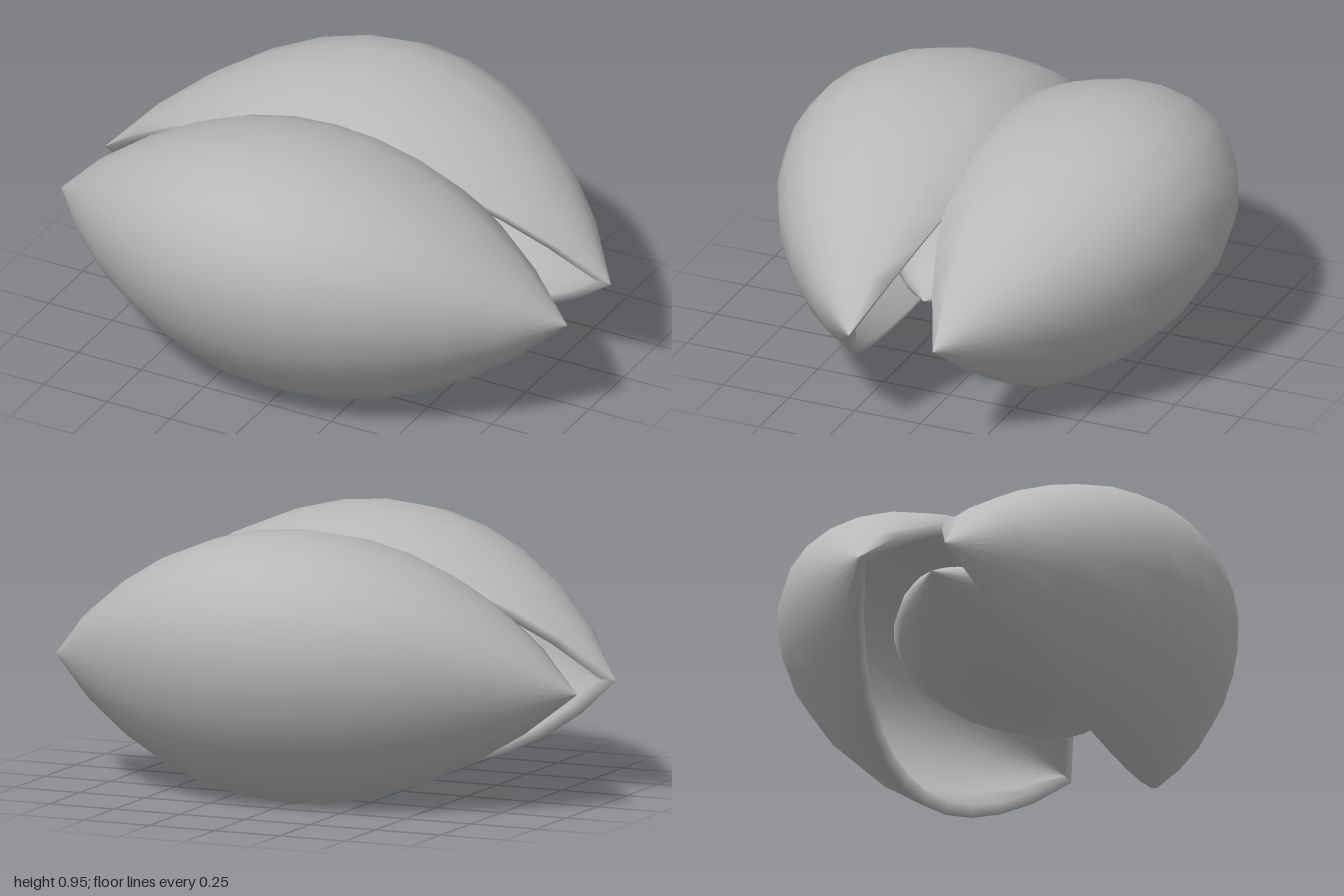
import * as THREE from 'three';

const STEPS = 12; // lengthwise divisions

// Loft closed cross-sections along x; each section point is [xScale, y, z]
function loft(section, profilePower) {
  const pos = [], index = [], n = section.length;
  for (let i = 0; i <= STEPS; i++) {
    const t = -1 + (2 * i) / STEPS;
    const s = Math.pow(Math.max(0, 1 - t * t), profilePower);
    for (const [sx, y, z] of section) pos.push(t * sx, y * s, z * s);
  }
  for (let i = 0; i < STEPS; i++) {
    for (let j = 0; j < n; j++) {
      const k = (j + 1) % n;
      const a = i * n + j, b = a + n, c = i * n + k, d = c + n;
      index.push(a, b, c, b, d, c);
    }
  }
  const g = new THREE.BufferGeometry();
  g.setAttribute('position', new THREE.Float32BufferAttribute(pos, 3));
  g.setIndex(index);
  g.computeVertexNormals();
  return g;
}

// Points on an elliptical arc, angles in degrees
function arc(from, to, count, sx, ry, rz) {
  return Array.from({ length: count }, (_, i) => {
    const a = THREE.MathUtils.degToRad(from + ((to - from) * i) / (count - 1));
    return [sx, ry * Math.sin(a), rz * Math.cos(a)];
  });
}

export function createModel() {
  const group = new THREE.Group();
  const grey = new THREE.MeshStandardMaterial({ color: 0xb8b8b8 });
  grey.name = 'shell grey';

  // Thick half shell: outer arc, then the inner arc back to the rim
  const shellGeometry = loft([
    ...arc(-90, 90, 13, 1, 0.479, 0.68),
    ...arc(90, -90, 13, 0.94, 0.43, 0.63),
  ], 0.93);

  // Two halves tilted open, meeting at the top
  for (const [name, turn] of [['frontShell', 0], ['backShell', Math.PI]]) {
    const half = new THREE.Group();
    half.name = name;
    half.rotation.y = turn;
    const shell = new THREE.Mesh(shellGeometry, grey);
    shell.name = name + 'Body';
    shell.position.set(0, 0.42, 0.16);
    shell.rotation.x = -0.501;
    half.add(shell);
    group.add(half);
  }

  // Kernel resting between the halves
  const kernel = new THREE.Mesh(
    loft(arc(-180, 180, 17, 0.72, 0.195, 0.37).slice(0, 16), 0.93), grey);
  kernel.name = 'kernel';
  kernel.position.y = 0.46;
  group.add(kernel);

  return group;
}
